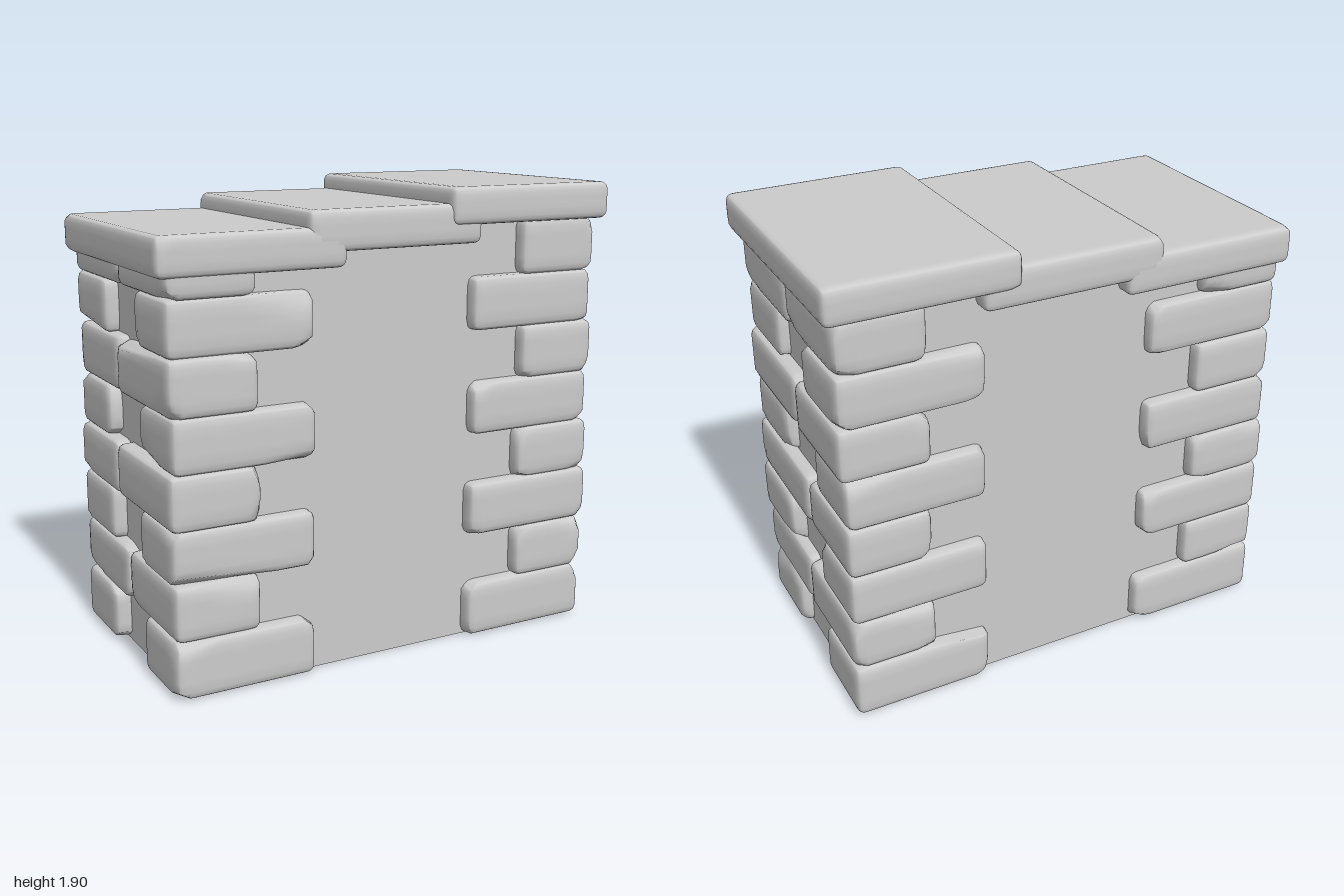
import * as THREE from 'three';
import { mergeVertices } from 'three/addons/utils/BufferGeometryUtils.js';

// Small seeded random generator, so every stone is chipped differently
let seed = 7;
const rand = (a = 0, b = 1) => {
  seed = (seed * 16807) % 2147483647;
  return a + (b - a) * (seed / 2147483647);
};

const material = new THREE.MeshStandardMaterial({ color: 0xcccccc, roughness: 0.9 });

// Stone block between two corners: rounded edges, with chips cut off by planes
function stone(name, min, max, { radius, chips, chipDepth }) {
  const lo = new THREE.Vector3(...min), hi = new THREE.Vector3(...max);
  const size = hi.clone().sub(lo), half = size.clone().multiplyScalar(0.5);
  const seg = size.toArray().map((s) => Math.max(7, Math.round(s / 0.03)));
  let geo = new THREE.BoxGeometry(size.x, size.y, size.z, ...seg);
  geo.deleteAttribute('uv');
  geo.deleteAttribute('normal');
  geo = mergeVertices(geo);

  // Cutting planes, each leaning towards one corner or edge of the block
  const planes = [];
  for (let i = 0; i < chips; i++) {
    const sign = [0, 1, 2].map(() => (rand() < 0.5 ? -1 : 1));
    const n = new THREE.Vector3(
      sign[0] * rand(0.05, 0.9), sign[1] * rand(0.3, 1), sign[2] * rand(0.05, 0.9)).normalize();
    const reach = Math.abs(n.x) * half.x + Math.abs(n.y) * half.y + Math.abs(n.z) * half.z;
    planes.push({ n, d: reach - radius * 0.6 - rand(0, chipDepth) });
  }

  const inner = half.clone().subScalar(radius), outer = inner.clone().negate();
  const core = new THREE.Vector3(), p = new THREE.Vector3();
  const pos = geo.attributes.position;
  // Crowds the grid lines towards the edges, where the rounding needs them
  const crowd = (v, h) => h * Math.sin((v / h) * Math.PI / 2);
  for (let i = 0; i < pos.count; i++) {
    p.fromBufferAttribute(pos, i);
    p.set(crowd(p.x, half.x), crowd(p.y, half.y), crowd(p.z, half.z));
    core.copy(p).clamp(outer, inner);
    p.sub(core).normalize().multiplyScalar(radius).add(core);
    for (const { n, d } of planes) {
      const over = p.dot(n) - d;
      if (over > 0) p.addScaledVector(n, -over);
    }
    pos.setXYZ(i, p.x, p.y, p.z);
  }
  geo.computeVertexNormals();
  const mesh = new THREE.Mesh(geo, material);
  mesh.name = name;
  mesh.position.copy(lo).add(hi).multiplyScalar(0.5);
  return mesh;
}

// Plain wall body with a stepped top hidden under the slabs
function wallCore() {
  const shape = new THREE.Shape();
  [[-0.9, 0], [0.9, 0], [0.9, 1.8], [0.32, 1.8], [0.32, 1.73], [-0.3, 1.73], [-0.3, 1.67], [-0.9, 1.67]]
    .forEach(([x, y], i) => (i ? shape.lineTo(x, y) : shape.moveTo(x, y)));
  const geo = new THREE.ExtrudeGeometry(shape, { depth: 0.92, bevelEnabled: false });
  geo.translate(0, 0, -0.46);
  const mesh = new THREE.Mesh(geo, material);
  mesh.name = 'wallCore';
  return mesh;
}

// Interlocking corner bricks: courses alternate long along x and long along z
function cornerBricks() {
  const group = new THREE.Group();
  group.name = 'cornerBricks';
  const levels = [0.005, 0.235, 0.455, 0.675, 0.89, 1.105, 1.325, 1.54, 1.765];
  const seams = [0, 0, 0, -0.07, 0, -0.04, 0, 0];
  for (const sx of [-1, 1]) {
    for (const sz of [-1, 1]) {
      for (let row = 0; row < 8; row++) {
        const longX = row % 2 === 0;
        const innerX = (longX ? 0.36 : 0.595) + rand(-0.005, 0.01);
        const outerX = 0.96 + rand(-0.012, 0.008);
        const outerZ = 0.52 + rand(-0.012, 0.006);
        const innerZ = longX ? 0.15 + rand(-0.005, 0.015) : sz * seams[row] - 0.005;
        const top = row === 7 && sx < 0 ? 1.7 : levels[row + 1];
        const xs = [sx * innerX, sx * outerX].sort((a, b) => a - b);
        const zs = [sz * innerZ, sz * outerZ].sort((a, b) => a - b);
        group.add(stone('cornerBrick',
          [xs[0], levels[row] - 0.003, zs[0]], [xs[1], top + 0.003, zs[1]],
          { radius: 0.036, chips: 9, chipDepth: 0.022 }));
      }
    }
  }
  return group;
}

// Three overlapping slabs climbing towards +x
function capSlabs() {
  const group = new THREE.Group();
  group.name = 'capSlabs';
  const slabs = [
    ['lowSlab', [-1, 1.62, -0.54], [-0.23, 1.775, 0.535]],
    ['middleSlab', [-0.39, 1.68, -0.54], [0.38, 1.84, 0.535]],
    ['highSlab', [0.23, 1.755, -0.555], [1, 1.905, 0.55]],
  ];
  for (const [name, min, max] of slabs) {
    group.add(stone(name, min, max, { radius: 0.032, chips: 5, chipDepth: 0.006 }));
  }
  return group;
}

export function createModel() {
  seed = 7;
  const model = new THREE.Group();
  model.name = 'stoneWall';
  model.add(wallCore(), cornerBricks(), capSlabs());
  return model;
}
